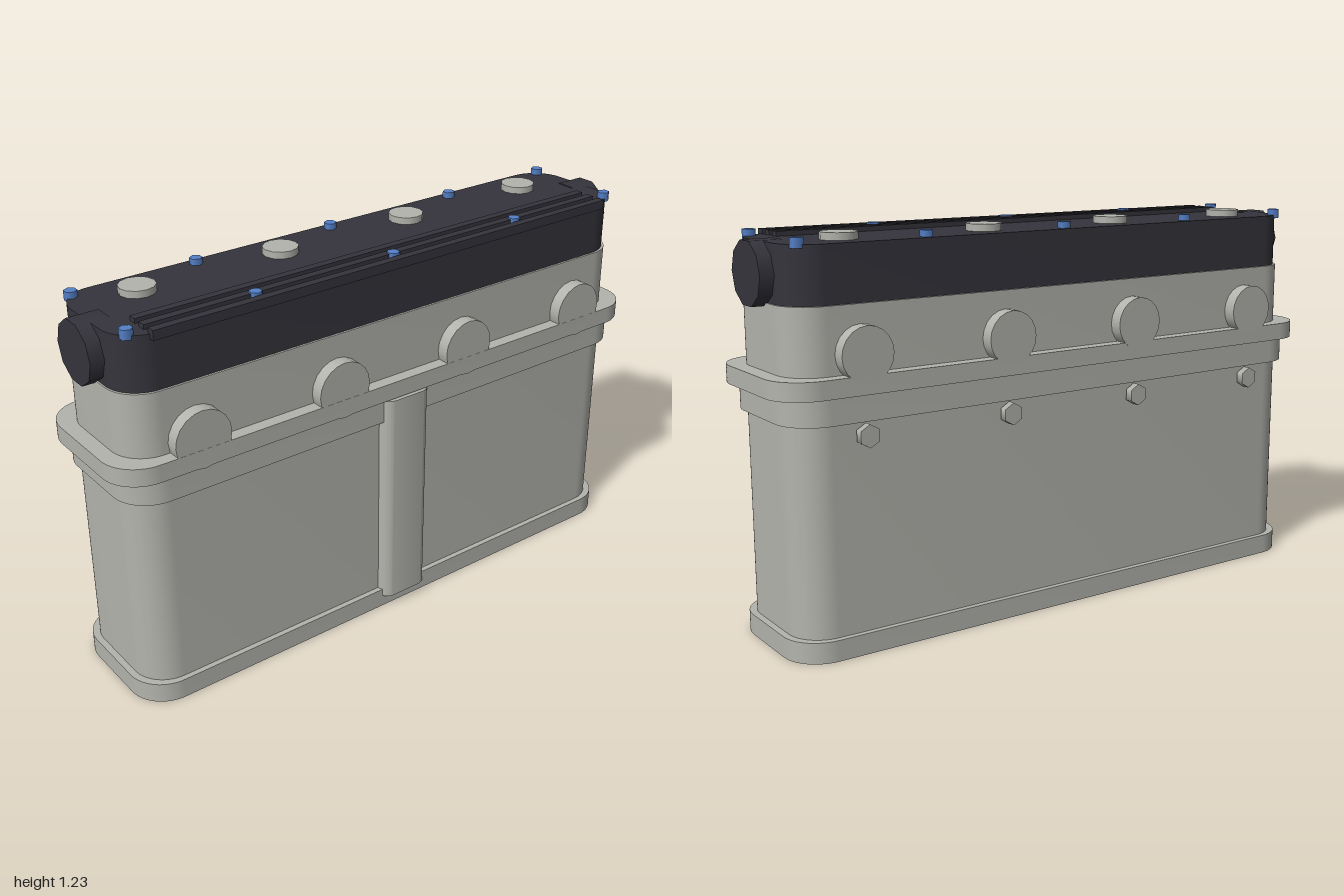
import * as THREE from 'three';
import { toCreasedNormals } from 'three/addons/utils/BufferGeometryUtils.js';

const CX = -0.004; // shared centre line of the stacked block sections

function mat(name, color) {
  const m = new THREE.MeshStandardMaterial({ color });
  m.name = name;
  return m;
}

// Upright slab with rounded vertical corners, from y0 to y1
function slab(halfX, halfZ, r, y0, y1) {
  const s = new THREE.Shape();
  s.moveTo(halfX, -halfZ + r);
  s.lineTo(halfX, halfZ - r);
  s.absarc(halfX - r, halfZ - r, r, 0, Math.PI / 2);
  s.absarc(-halfX + r, halfZ - r, r, Math.PI / 2, Math.PI);
  s.absarc(-halfX + r, -halfZ + r, r, Math.PI, Math.PI * 1.5);
  s.absarc(halfX - r, -halfZ + r, r, Math.PI * 1.5, Math.PI * 2);
  const g = new THREE.ExtrudeGeometry(s, { depth: y1 - y0, bevelEnabled: false, curveSegments: 8 });
  g.rotateX(-Math.PI / 2);
  g.translate(0, y0, 0);
  return toCreasedNormals(g, 0.5);
}

// Cylinder whose first vertex lies on +x (axis y)
function disc(r, h, sides) {
  return new THREE.CylinderGeometry(r, r, h, sides).rotateY(Math.PI / 2);
}

export function createModel() {
  const metal = mat('cast metal', 0xb4b4ae);
  const dark = mat('dark cover', 0x35343c);
  const blue = mat('blue bolt', 0x5580c8);
  const model = new THREE.Group();
  model.name = 'engineBlock';

  const add = (name, geometry, material, x = 0, y = 0, z = 0) => {
    const mesh = new THREE.Mesh(geometry, material);
    mesh.name = name;
    mesh.position.set(x, y, z);
    model.add(mesh);
    return mesh;
  };

  // Stacked block: name, half width, half length, corner radius, bottom, top
  [
    ['base', 0.228, 0.969, 0.12, 0, 0.065],
    ['block', 0.21, 0.948, 0.11, 0.065, 0.70],
    ['lowerFlange', 0.228, 0.967, 0.12, 0.70, 0.78],
    ['upperFlange', 0.243, 1.0, 0.12, 0.78, 0.836],
    ['head', 0.201, 0.95, 0.11, 0.836, 1.035],
    ['cover', 0.194, 0.945, 0.11, 1.035, 1.206],
  ].forEach(([name, hx, hz, r, y0, y1]) =>
    add(name, slab(hx, hz, r, y0, y1), name === 'cover' ? dark : metal, CX));

  // Vertical rib on the left side
  add('sideRib', slab(0.0725, 0.09, 0.04, 0.04, 0.775), metal, 0.1725);

  // Round caps at both ends of the cover
  for (const side of [1, -1]) {
    const g = disc(0.097, 0.1, 10).rotateX(Math.PI / 2);
    add('endCap', g, dark, CX, 1.117, side * 0.938);
  }

  // Features repeated at each cylinder
  const leftPort = disc(0.092, 0.1, 20).rotateZ(Math.PI / 2);
  const rightPort = disc(0.083, 0.1, 20).rotateZ(Math.PI / 2);
  const sideBolt = disc(0.035, 0.026, 6).rotateZ(Math.PI / 2);
  const plug = disc(0.056, 0.04, 12);
  for (const z of [-0.737, -0.245, 0.245, 0.737]) {
    add('leftPort', leftPort, metal, 0.1885, 0.867, z);
    add('rightPort', rightPort, metal, -0.1975, 0.895, z);
    add('sideBolt', sideBolt, metal, -0.234, 0.66, z);
    add('topPlug', plug, metal, -0.087, 1.208, z);
  }

  // Ridges along the cover
  for (const x of [0.094, 0.143, 0.192]) {
    add('coverRidge', new THREE.BoxGeometry(0.027, 0.03, 1.706), dark, x, 1.206, 0);
  }

  // Cover bolts
  const bolt = disc(0.02, 0.03, 6);
  for (const x of [-0.166, 0.154]) {
    for (const z of [-0.905, -0.495, 0, 0.495, 0.905]) add('coverBolt', bolt, blue, x, 1.211, z);
  }

  return model;
}
